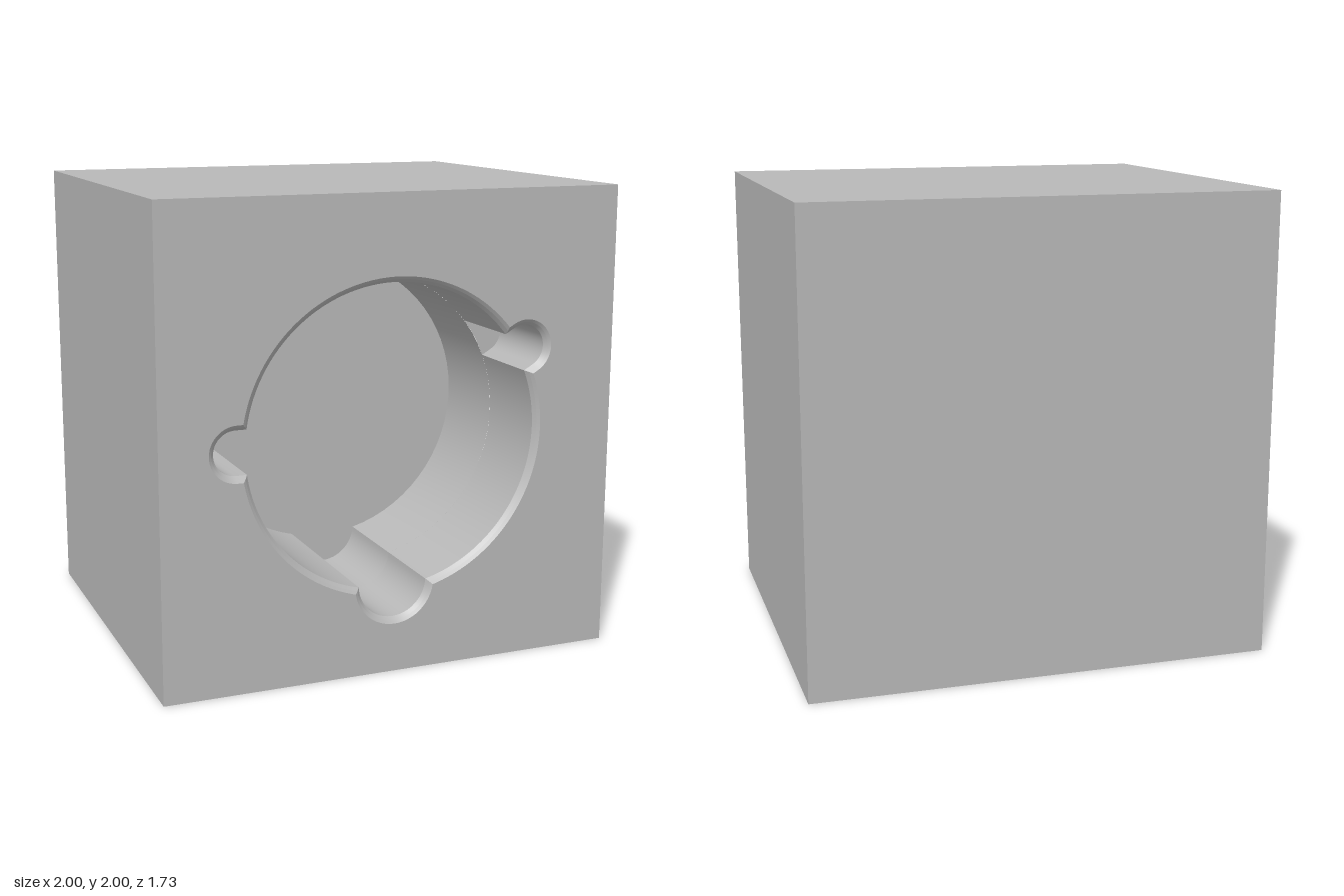
import * as THREE from 'three';
import { toCreasedNormals } from 'three/addons/utils/BufferGeometryUtils.js';

const HALF_DEPTH = 0.865, CENTER_Y = 1, RADIUS = 0.64;
const POCKET_DEPTH = 0.81, SHALLOW_DEPTH = 0.4;

// Side notches around the bore: direction, centre distance, radius
const shallowNotch = { angle: Math.PI / 6, dist: 0.68, r: 0.092 };
const deepNotches = [
  { angle: Math.PI, dist: 0.68, r: 0.092 },
  { angle: Math.PI * 1.5, dist: 0.615, r: 0.152 },
];
const allNotches = [shallowNotch, ...deepNotches];

// Points on an arc of the bore
function boreArc(radius, from, to, n = 48) {
  return Array.from({ length: n + 1 }, (_, i) => {
    const t = from + (to - from) * i / n;
    return new THREE.Vector2(radius * Math.cos(t), CENTER_Y + radius * Math.sin(t));
  });
}

// One notch, counter-clockwise, with the half angle it cuts from the bore
function notchArc({ angle, dist, r }, offset) {
  const R = RADIUS + offset, w = r + offset;
  const s = Math.sqrt(R * R - w * w);
  const a = s <= dist ? s : (R * R + dist * dist - w * w) / (2 * dist);
  const h = Math.sqrt(R * R - a * a);
  const end = s <= dist ? Math.PI / 2 : Math.atan2(h, a - dist);
  const local = [[a, -h]];
  for (let i = 0; i <= 24; i++) {
    const t = -end + 2 * end * i / 24;
    local.push([dist + w * Math.cos(t), w * Math.sin(t)]);
  }
  local.push([a, h]);
  const c = Math.cos(angle), d = Math.sin(angle);
  const points = local.map(([x, y]) => new THREE.Vector2(x * c - y * d, CENTER_Y + x * d + y * c));
  return { points, half: Math.atan2(h, a) };
}

// Closed outline of the bore with its notches, grown by offset
function outline(notches, offset) {
  const arcs = notches.map((n) => notchArc(n, offset));
  return notches.flatMap((n, i) => {
    const j = (i + 1) % notches.length;
    const to = notches[j].angle + (j === 0 ? Math.PI * 2 : 0) - arcs[j].half;
    const main = boreArc(RADIUS + offset, n.angle + arcs[i].half, to);
    return [...arcs[i].points, ...main.slice(1, -1)];
  });
}

// Inward-facing wall between two outlines with equal point counts
function wall(front, zFront, back, zBack) {
  const pos = [];
  const put = (p, z) => pos.push(p.x, p.y, z);
  front.forEach((p, i) => {
    const j = (i + 1) % front.length;
    put(p, zFront); put(front[j], zFront); put(back[i], zBack);
    put(front[j], zFront); put(back[j], zBack); put(back[i], zBack);
  });
  const g = new THREE.BufferGeometry();
  g.setAttribute('position', new THREE.Float32BufferAttribute(pos, 3));
  return toCreasedNormals(g, 0.4);
}

export function createModel() {
  const group = new THREE.Group();
  group.name = 'notchedBlock';
  const grey = new THREE.MeshStandardMaterial({ color: 0xb8b8b8 });
  grey.name = 'grey';
  const add = (name, geometry, z = 0) => {
    const mesh = new THREE.Mesh(geometry, grey);
    mesh.name = name;
    mesh.position.z = z;
    group.add(mesh);
  };

  // Block sides: a box without its front face
  const box = new THREE.BoxGeometry(2, 2, HALF_DEPTH * 2);
  const index = Array.from(box.index.array);
  index.splice(24, 6);
  box.setIndex(index);
  box.clearGroups();
  box.translate(0, CENTER_Y, 0);
  add('blockSides', box);

  // Front face with the opening cut out
  const rims = [0.025, 0.0125, 0].map((o) => outline(allNotches, o));
  const rimZ = [0, 0.01, 0.025].map((d) => HALF_DEPTH - d);
  const face = new THREE.Shape([[-1, 0], [1, 0], [1, 2], [-1, 2]].map(([x, y]) => new THREE.Vector2(x, y)));
  face.holes.push(new THREE.Path(rims[0]));
  add('frontFace', new THREE.ShapeGeometry(face), HALF_DEPTH);

  // Two-step bevel around the opening
  add('outerBevel', wall(rims[0], rimZ[0], rims[1], rimZ[1]));
  add('innerBevel', wall(rims[1], rimZ[1], rims[2], rimZ[2]));

  // Pocket walls: three notches in front, two running to the floor
  const midZ = HALF_DEPTH - SHALLOW_DEPTH, floorZ = HALF_DEPTH - POCKET_DEPTH;
  const deep = outline(deepNotches, 0);
  add('frontPocketWall', wall(rims[2], rimZ[2], rims[2], midZ));
  add('rearPocketWall', wall(deep, midZ, deep, floorZ));
  add('pocketFloor', new THREE.ShapeGeometry(new THREE.Shape(deep)), floorZ);

  // Floor of the shallow notch
  const { points, half } = notchArc(shallowNotch, 0);
  const { angle } = shallowNotch;
  const inner = boreArc(RADIUS, angle + half, angle - half, 12).slice(1, -1);
  add('shallowNotchFloor', new THREE.ShapeGeometry(new THREE.Shape([...points, ...inner])), midZ);

  return group;
}
